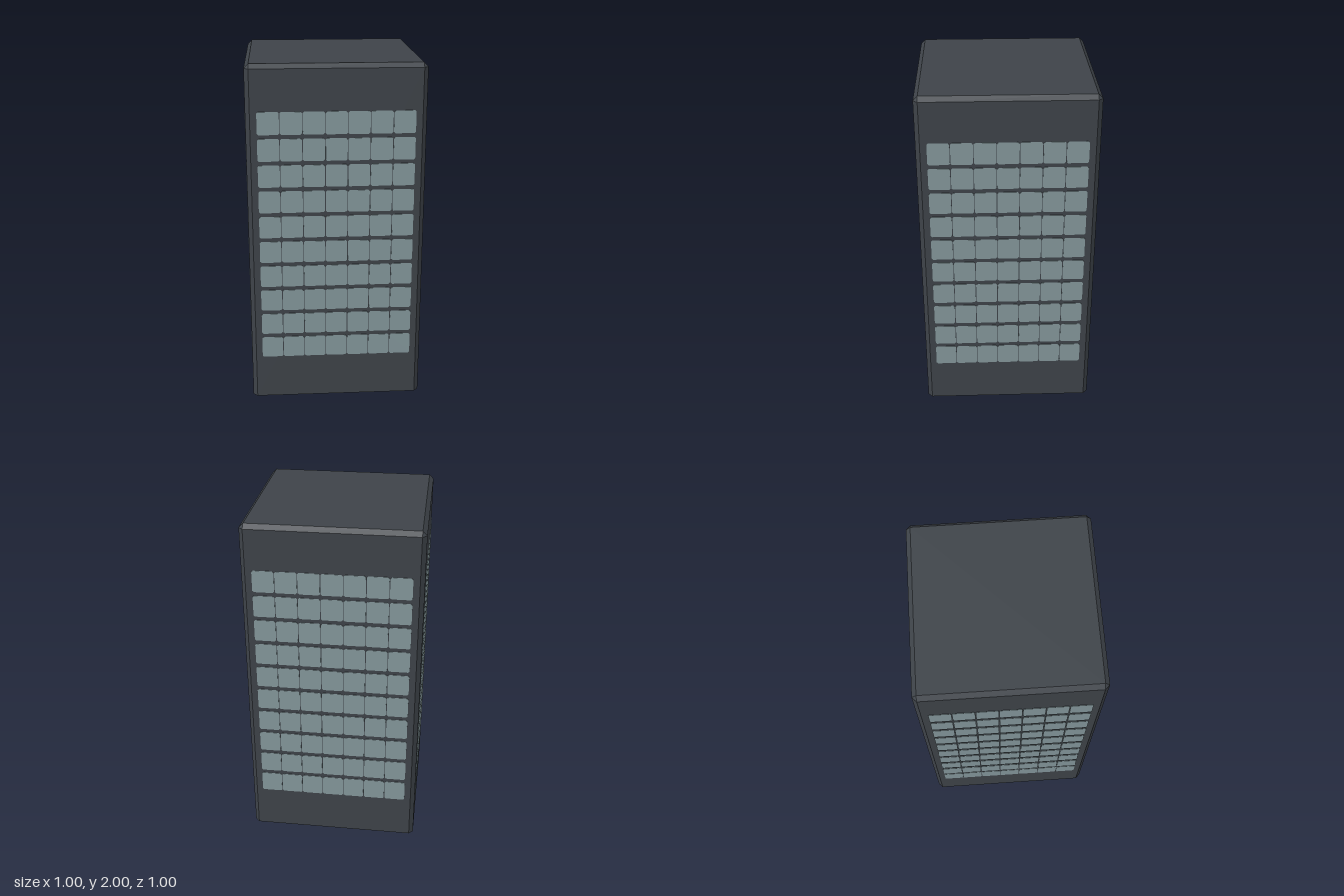
import * as THREE from 'three';

const HALF = 0.5, INSET = 0.475, HEIGHT = 2, SHOULDER = 1.975;

const wallMaterial = new THREE.MeshStandardMaterial({ color: 0x3e4349, side: THREE.DoubleSide });
wallMaterial.name = 'dark wall';
const glassMaterial = new THREE.MeshStandardMaterial({ color: 0x84979b, side: THREE.DoubleSide });
glassMaterial.name = 'grey glass';

// Open-bottomed tower shell with bevelled corners and top edges
function shellGeometry() {
  const bottom = [], shoulder = [], top = [];
  for (let k = 0; k < 4; k++) {
    for (const side of [-1, 1]) {
      const place = (x, y, z) => {
        for (let i = 0; i < k; i++) [x, z] = [z, -x];
        return [x, y, z];
      };
      bottom.push(place(side * INSET, 0, HALF));
      shoulder.push(place(side * INSET, SHOULDER, HALF));
      top.push(place(side * INSET, HEIGHT, INSET));
    }
  }
  const positions = [];
  const tri = (a, b, c) => positions.push(...a, ...b, ...c);
  const quad = (a, b, c, d) => { tri(a, b, c); tri(a, c, d); };
  for (let j = 0; j < 8; j++) {
    const n = (j + 1) % 8;
    quad(bottom[j], bottom[n], shoulder[n], shoulder[j]);
    if (j % 2 === 0) quad(shoulder[j], shoulder[n], top[n], top[j]);
    else tri(shoulder[j], shoulder[n], top[j]);
  }
  quad(top[0], top[2], top[4], top[6]);
  const geometry = new THREE.BufferGeometry();
  geometry.setAttribute('position', new THREE.Float32BufferAttribute(positions, 3));
  geometry.computeVertexNormals();
  return geometry;
}

// One pane with clipped corners
function paneShape(x0, y0, x1, y1, c) {
  return new THREE.Shape([
    [x0 + c, y0], [x1 - c, y0], [x1, y0 + c], [x1, y1 - c],
    [x1 - c, y1], [x0 + c, y1], [x0, y1 - c], [x0, y0 + c],
  ].map(([x, y]) => new THREE.Vector2(x, y)));
}

// Thin panes for one wall, showing on both faces of the shell
function windowGeometry() {
  const columns = 7, rows = 10, gap = 0.004, width = 0.88 / columns;
  const shapes = [];
  for (let r = 0; r < rows; r++) {
    for (let c = 0; c < columns; c++) {
      const x = -0.44 + c * width, y = 0.263 + r * 0.15;
      shapes.push(paneShape(x + gap / 2, y, x + width - gap / 2, y + 0.128, 0.008));
    }
  }
  const geometry = new THREE.ExtrudeGeometry(shapes, { depth: 0.005, bevelEnabled: false });
  return geometry.translate(0, 0, HALF - 0.0025);
}

export function createModel() {
  const model = new THREE.Group();
  model.name = 'officeTower';

  const shell = new THREE.Mesh(shellGeometry(), wallMaterial);
  shell.name = 'towerShell';
  model.add(shell);

  // Same window grid on all four walls
  const panes = windowGeometry();
  ['front', 'left', 'back', 'right'].forEach((name, k) => {
    const windows = new THREE.Mesh(panes, glassMaterial);
    windows.name = name + 'Windows';
    windows.rotation.y = k * Math.PI / 2;
    model.add(windows);
  });
  return model;
}
